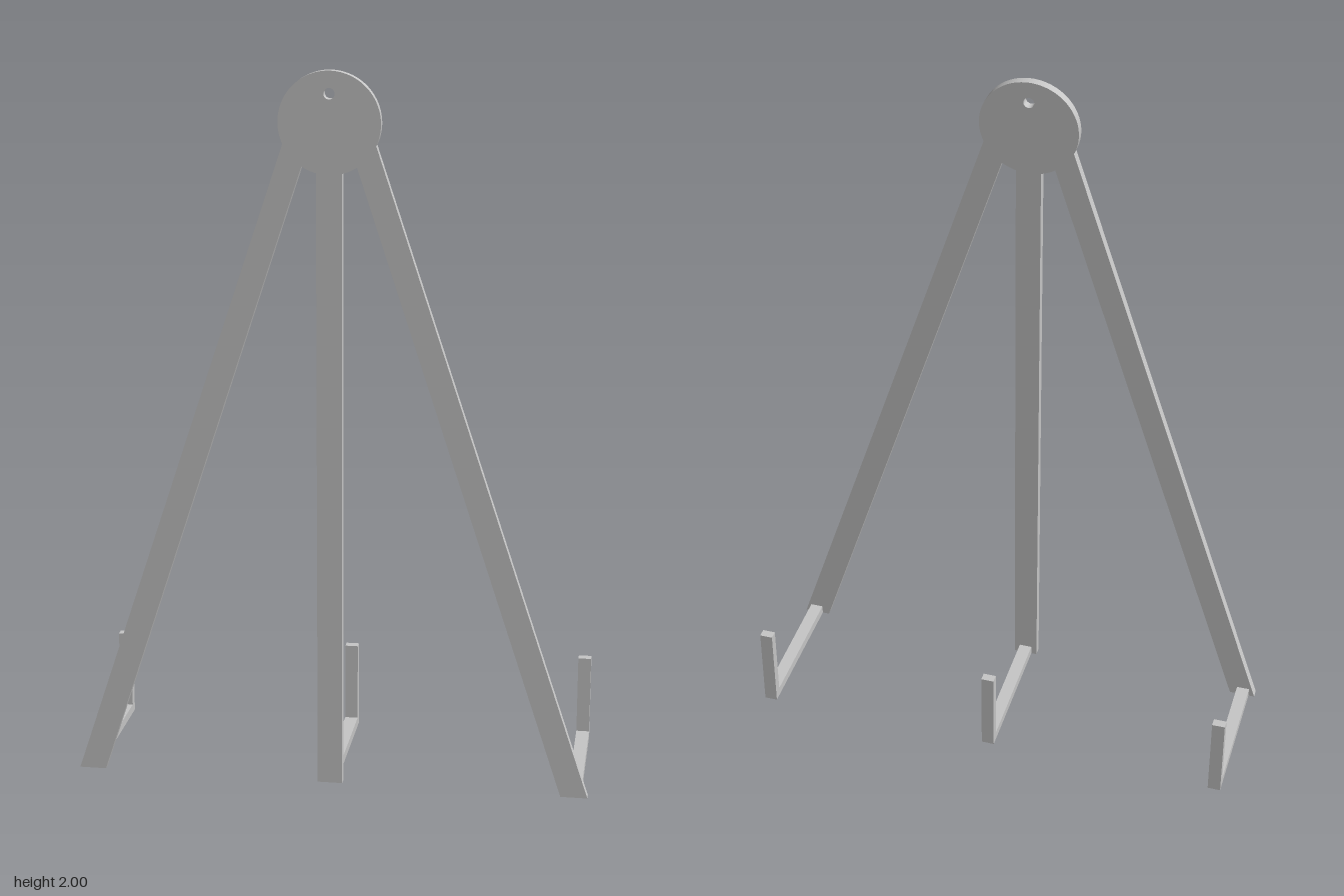
import * as THREE from 'three';

export function createModel() {
  const group = new THREE.Group();
  const grey = new THREE.MeshStandardMaterial({ color: 0xc6c6c6 });
  grey.name = 'light grey';

  const T = 0.025;          // plate and bar thickness
  const Z = 0.22;           // half of the total depth
  const R = 0.137, CY = 1.863; // head disc
  const onDisc = (x, y) => Math.atan2(y - CY, x);
  const arcY = (x) => CY - Math.sqrt(R * R - x * x);

  // Flat frame: round head and three legs cut as one outline
  const outer = onDisc(0.124, 1.806);
  const inner = onDisc(0.074, arcY(0.074));
  const mid = onDisc(0.035, arcY(0.035));
  const s = new THREE.Shape();
  s.moveTo(-0.035, 0);
  s.lineTo(0.035, 0);
  s.absarc(0, CY, R, mid, inner, false);
  s.lineTo(0.648, 0);
  s.lineTo(0.723, 0);
  s.absarc(0, CY, R, outer, Math.PI - outer, false);
  s.lineTo(-0.723, 0);
  s.lineTo(-0.648, 0);
  s.absarc(0, CY, R, Math.PI - inner, Math.PI - mid, false);
  s.closePath();

  // Hanging hole
  const hole = new THREE.Path();
  hole.absarc(0, 1.94, 0.015, 0, Math.PI * 2, true);
  s.holes.push(hole);

  const frame = new THREE.Mesh(
    new THREE.ExtrudeGeometry(s, { depth: T, bevelEnabled: false, curveSegments: 40 }), grey);
  frame.name = 'frame';
  frame.position.z = Z - T;
  group.add(frame);

  // L-shaped hook behind each foot, drawn as a side profile (u = distance back)
  const reach = 2 * Z - T, W = 0.037;
  const l = new THREE.Shape([
    [0, 0], [reach, 0], [reach, 0.253], [reach - T, 0.253], [reach - T, 0.026], [0, 0.026],
  ].map(([u, y]) => new THREE.Vector2(u, y)));
  const hookGeo = new THREE.ExtrudeGeometry(l, { depth: W, bevelEnabled: false });
  hookGeo.translate(0, 0, -W / 2);
  hookGeo.rotateY(Math.PI / 2);
  for (const [name, x] of [['rightHook', -0.687], ['middleHook', 0], ['leftHook', 0.687]]) {
    const hook = new THREE.Mesh(hookGeo, grey);
    hook.name = name;
    hook.position.set(x, 0, Z - T);
    group.add(hook);
  }
  return group;
}
